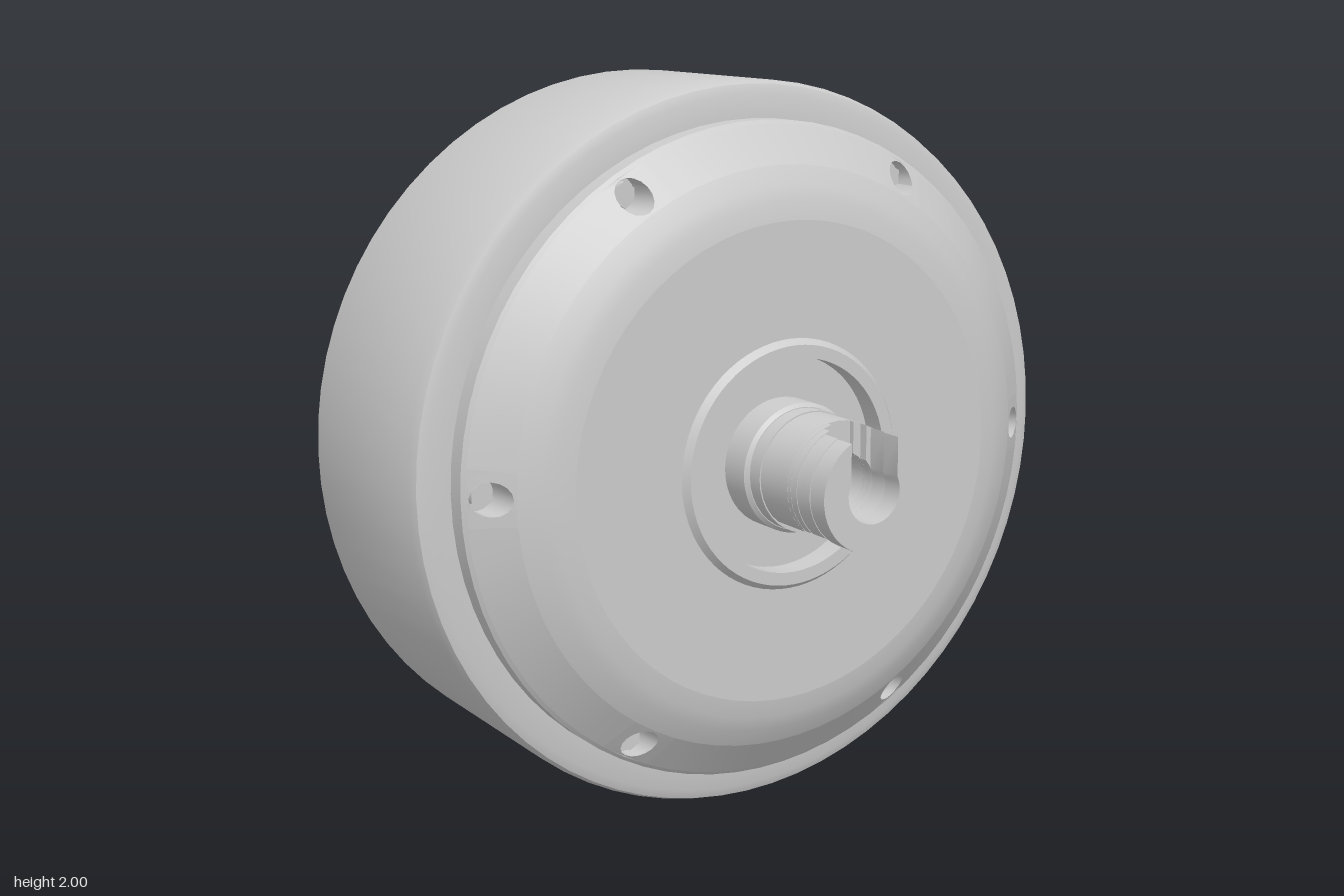
import * as THREE from 'three';
import { toCreasedNormals } from 'three/addons/utils/BufferGeometryUtils.js';

const grey = new THREE.MeshStandardMaterial({ color: 0xcccccc });
const greyDouble = new THREE.MeshStandardMaterial({ color: 0xcccccc, side: THREE.DoubleSide });
const STEP = Math.PI / 36; // 72 segments round the axle

function add(parent, name, geometry, material = grey) {
  const mesh = new THREE.Mesh(geometry, material);
  mesh.name = name;
  parent.add(mesh);
  return mesh;
}

// Lathe of [radius, z] points round the z axis, over an arc measured from +x
function turn(points, segments = 72, start = 0) {
  const g = new THREE.LatheGeometry(points.map(p => new THREE.Vector2(...p)),
    segments, start + Math.PI / 2, segments * STEP);
  g.rotateX(Math.PI / 2);
  return toCreasedNormals(g, 0.6);
}

// Move each vertex to the z given by a rule
function setZ(geometry, rule) {
  const p = geometry.attributes.position;
  for (let i = 0; i < p.count; i++) p.setZ(i, rule(p.getX(i), p.getY(i), p.getZ(i)));
  geometry.computeVertexNormals();
  return geometry;
}

const circlePath = (x, y, r) => new THREE.Path().absarc(x, y, r, 0, Math.PI * 2, true);

// Bevel of the cover that carries the screw holes
const R_IN = 0.79, R_OUT = 0.89, HOLE_R = 0.84;
const bevel = (x, y) => 0.15 - 0.8 * (Math.hypot(x, y) - R_IN);

// One bevel patch with a sunken screw
function screwHole() {
  const group = new THREE.Group();
  group.name = 'screwHole';
  const outline = [[R_IN, 1], [R_IN, 0], [R_IN, -1], [R_OUT, -1], [R_OUT, 0], [R_OUT, 1]]
    .map(([r, k]) => new THREE.Vector2(r * Math.cos(k * STEP), r * Math.sin(k * STEP)));
  const shape = new THREE.Shape(outline);
  shape.holes.push(circlePath(HOLE_R, 0, 0.045));
  add(group, 'holePatch', setZ(new THREE.ShapeGeometry(shape, 8), bevel));

  const wall = new THREE.CylinderGeometry(0.045, 0.045, 1, 16, 1, true);
  wall.rotateX(Math.PI / 2).translate(HOLE_R, 0, 0);
  add(group, 'holeWall', setZ(wall, (x, y, z) => (z > 0 ? bevel(x, y) : 0.03)), greyDouble);
  add(group, 'holeFloor', new THREE.CircleGeometry(0.046, 16).translate(HOLE_R, 0, 0.03));
  add(group, 'screwHead', new THREE.CylinderGeometry(0.034, 0.034, 0.03, 6)
    .rotateX(Math.PI / 2).translate(HOLE_R, 0, 0.045));
  return group;
}

// Domed cover without its middle, base at z = 0
function cover(name) {
  const group = new THREE.Group();
  group.name = name;
  add(group, 'coverEdge', turn([[0.9, -0.02], [0.9, 0.06], [R_OUT, 0.07]]));
  add(group, 'coverDome', turn([[R_IN, 0.15], [0.74, 0.178], [0.7, 0.192], [0.65, 0.2]]));
  for (let k = 0; k < 6; k++) {
    const angle = k * Math.PI / 3;
    add(group, 'coverBevel', turn([[R_OUT, 0.07], [R_IN, 0.15]], 10, angle + STEP));
    const hole = screwHole();
    hole.rotation.z = angle;
    group.add(hole);
  }
  return group;
}

// Slice of the hollow axle: w is half the slot width, flat cuts the underside
function axleSlice(z0, z1, w, flat) {
  const bore = 0.08, outer = 0.167 - 0.03 * (z1 - 0.3);
  const arc = (r, n, back) => Array.from({ length: n + 1 }, (_, i) => {
    const gap = Math.asin(w / r), t = back ? 1 - i / n : i / n;
    const a = Math.PI / 2 + gap + t * 2 * (Math.PI - gap);
    const y = r * Math.sin(a);
    return new THREE.Vector2(r * Math.cos(a), flat ? Math.max(y, -0.12) : y);
  });
  let shape;
  if (w > 0) {
    shape = new THREE.Shape([...arc(outer, 36), ...arc(bore, 20, true)]);
  } else {
    shape = new THREE.Shape(arc(outer, 36).slice(0, -1));
    shape.holes.push(circlePath(0, 0, bore));
  }
  const g = new THREE.ExtrudeGeometry(shape, { depth: z1 - z0, bevelEnabled: false, curveSegments: 12 });
  return toCreasedNormals(g.translate(0, 0, z0), 0.5);
}

export function createModel() {
  const model = new THREE.Group();
  model.name = 'hubMotor';
  const hub = new THREE.Group();
  hub.name = 'hub';
  hub.position.y = 1;
  model.add(hub);

  // Wide outer drum with rounded rims
  add(hub, 'drum', turn([[0.88, -0.51], [0.965, -0.51], [0.99, -0.5], [1, -0.475],
    [1, 0.105], [0.99, 0.13], [0.965, 0.14], [0.88, 0.14]]));

  // Front cover with a raised ring round a recess
  const front = cover('frontCover');
  front.position.z = 0.135;
  add(front, 'frontFace', turn([[0.65, 0.2], [0.34, 0.2], [0.325, 0.22], [0.29, 0.22],
    [0.29, 0.15], [0, 0.15]]));
  hub.add(front);

  // Back cover, a plain disc with six small holes
  const back = cover('backCover');
  back.position.z = -0.51;
  back.rotation.y = Math.PI;
  const rim = Array.from({ length: 72 }, (_, i) =>
    new THREE.Vector2(0.65 * Math.cos(i * STEP), 0.65 * Math.sin(i * STEP)));
  const disc = new THREE.Shape(rim);
  for (let k = 0; k < 6; k++) {
    const x = 0.615 * Math.cos(k * Math.PI / 3), y = 0.615 * Math.sin(k * Math.PI / 3);
    disc.holes.push(circlePath(x, y, 0.017));
    add(back, 'smallHoleWall', new THREE.CylinderGeometry(0.017, 0.017, 0.04, 12, 1, true)
      .rotateX(Math.PI / 2).translate(x, y, 0.18), greyDouble);
    add(back, 'smallHoleFloor', new THREE.CircleGeometry(0.018, 12).translate(x, y, 0.16));
  }
  add(back, 'backFace', new THREE.ShapeGeometry(disc, 6).translate(0, 0, 0.2));
  hub.add(back);

  // Axle collar
  add(hub, 'axleCollar', turn([[0.175, 0.28], [0.175, 0.375], [0.165, 0.385], [0.08, 0.385]]));

  // Hollow axle: flat underside, and a round-ended slot on top near the tip
  const axle = new THREE.Group();
  axle.name = 'axle';
  const slices = [[0.285, 0.43, 0, false], [0.43, 0.55, 0, true], [0.55, 0.565, 0.035, true],
    [0.565, 0.59, 0.058, true], [0.59, 0.645, 0.072, true], [0.645, 0.705, 0.072, false]];
  for (const s of slices) add(axle, 'axleSection', axleSlice(...s));
  hub.add(axle);

  return model;
}
